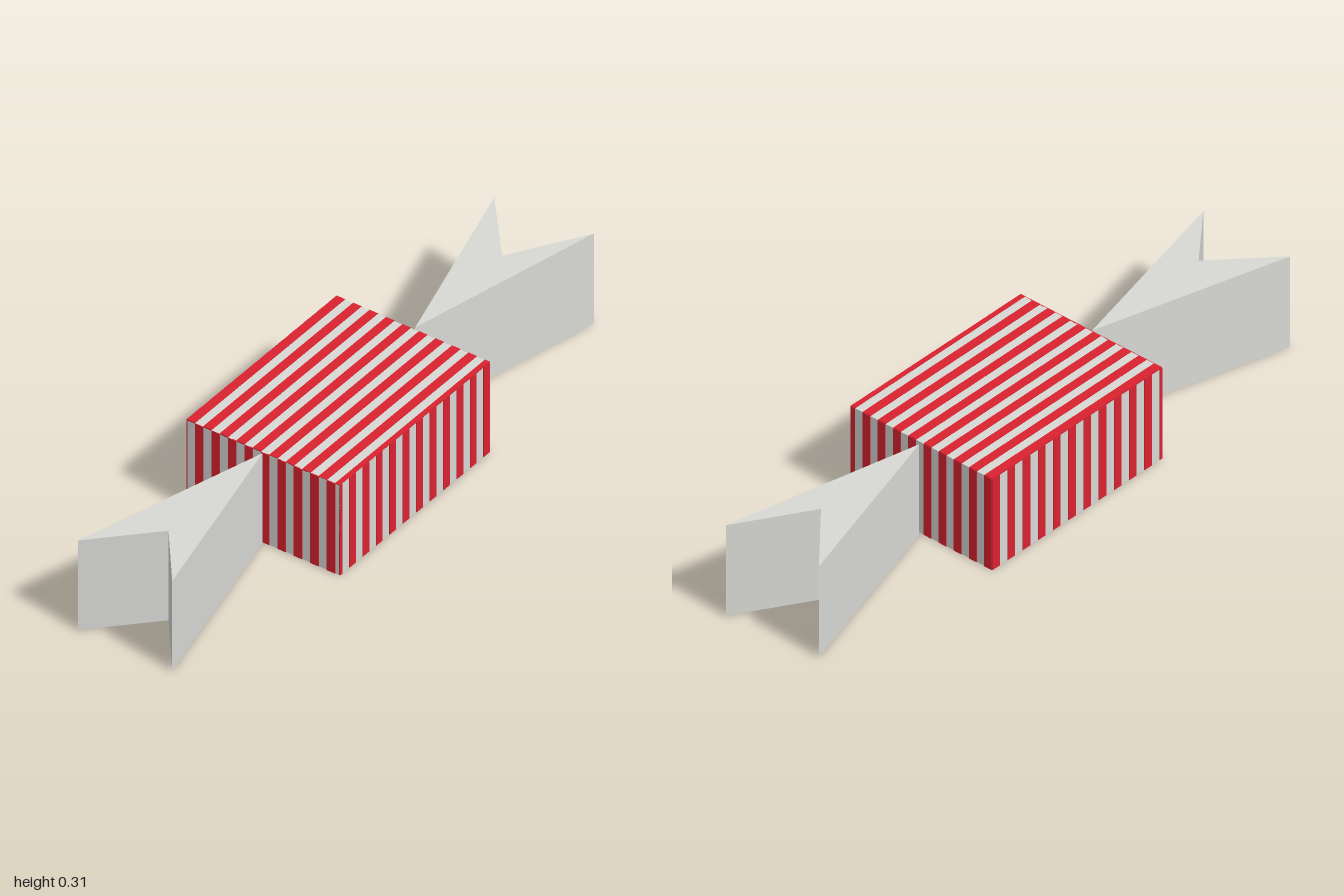
import * as THREE from 'three';

const HEIGHT = 0.31;
const X0 = -0.262, X1 = 0.262, Z0 = -0.345, Z1 = 0.365;
const LIFT = 0.002; // how far the painted stripes stand proud

export function createModel() {
  const model = new THREE.Group();
  model.name = 'wrappedCandy';
  const grey = new THREE.MeshStandardMaterial({ color: 0xd8d8d5 });
  grey.name = 'paleGrey';
  const red = new THREE.MeshStandardMaterial({ color: 0xda2230 });
  red.name = 'red';

  // Box spanning the given limits
  function block(name, material, parent, x0, x1, y0, y1, z0, z1) {
    const mesh = new THREE.Mesh(new THREE.BoxGeometry(x1 - x0, y1 - y0, z1 - z0), material);
    mesh.position.set((x0 + x1) / 2, (y0 + y1) / 2, (z0 + z1) / 2);
    mesh.name = name;
    parent.add(mesh);
  }

  // Repeats a stripe from start to end, clipping the last one
  function stripes(name, start, end, period, width, build) {
    const group = new THREE.Group();
    group.name = name;
    for (let a = start; a < end - 0.005; a += period) build(group, a, Math.min(a + width, end));
    model.add(group);
  }

  // Body
  block('body', grey, model, X0, X1, 0, HEIGHT, Z0, Z1);

  // Stripes along the top and across the ends
  stripes('topStripes', X0, X1, 0.0565, 0.028, (g, a, b) =>
    block('topStripe', red, g, a, b, HEIGHT - LIFT, HEIGHT + LIFT, Z0, Z1));
  stripes('frontStripes', -0.233, X1, 0.0565, 0.028, (g, a, b) =>
    block('frontStripe', red, g, a, b, 0, HEIGHT, Z1 - LIFT, Z1 + LIFT));
  stripes('backStripes', X0, X1, 0.0565, 0.028, (g, a, b) =>
    block('backStripe', red, g, a, b, 0, HEIGHT, Z0 - LIFT, Z0 + LIFT));

  // Stripes on the two long sides
  for (const [name, x] of [['left', X1], ['right', X0]]) {
    stripes(name + 'Stripes', Z0, Z1, 0.0636, 0.03, (g, a, b) =>
      block(name + 'Stripe', red, g, x - LIFT, x + LIFT, 0, HEIGHT, a, b));
  }

  // Forked wrapper ends: [x, z] outlines extruded upward
  const tails = {
    frontTail: [[0, 0.368], [-0.177, 0.998], [0, 0.814], [0.146, 0.998]],
    backTail: [[0, -0.355], [0.146, -1], [0, -0.766], [-0.177, -0.974]],
  };
  for (const [name, outline] of Object.entries(tails)) {
    const shape = new THREE.Shape(outline.map(([x, z]) => new THREE.Vector2(x, -z)));
    const geometry = new THREE.ExtrudeGeometry(shape, { depth: HEIGHT, bevelEnabled: false });
    geometry.rotateX(-Math.PI / 2);
    const tail = new THREE.Mesh(geometry, grey);
    tail.name = name;
    model.add(tail);
  }

  return model;
}
